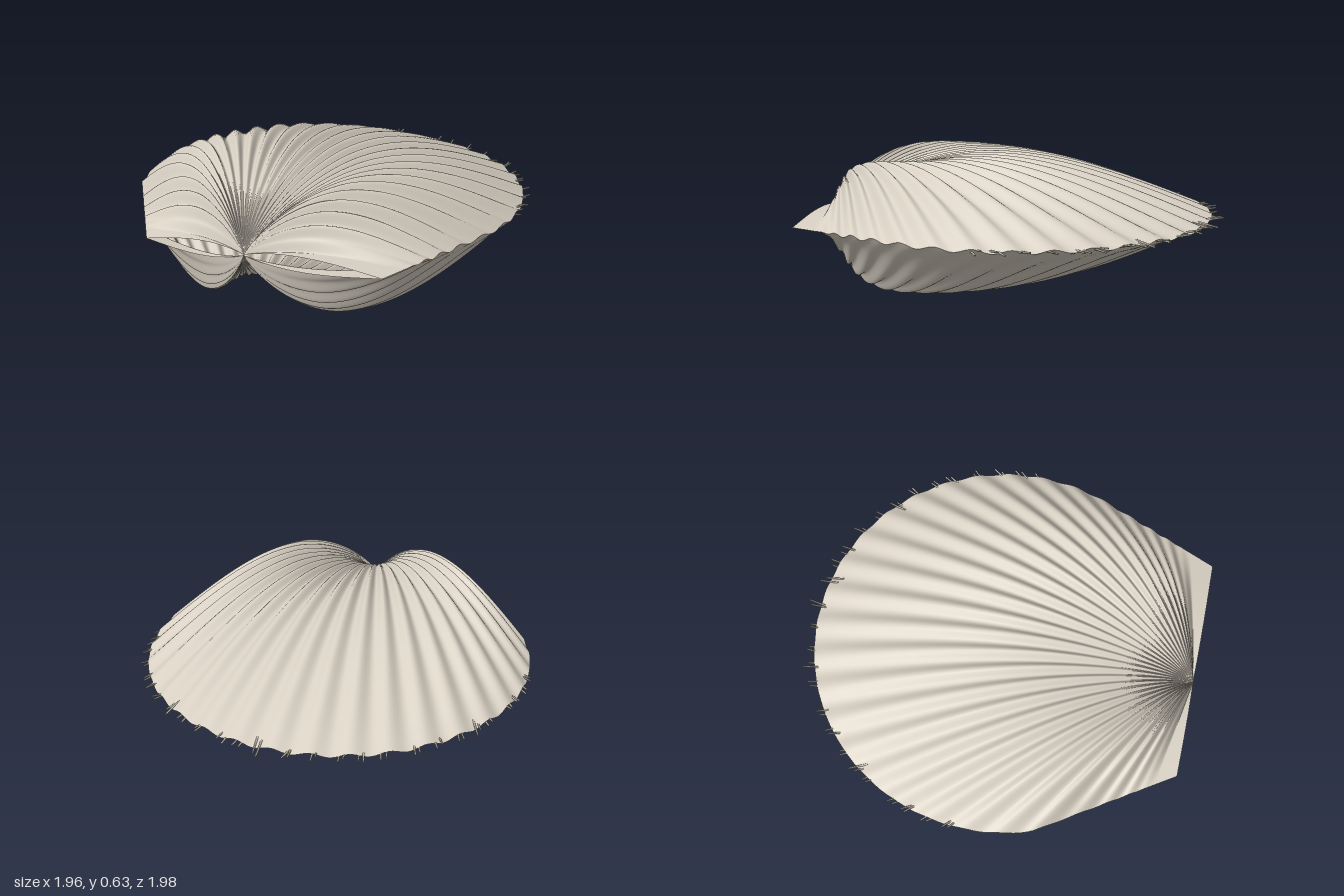
import * as THREE from 'three';

const MID = 0.34;      // height of the seam between the valves
const RADIUS = 0.96;   // the round outline passes through the hinge at z = 1
const RIB_FREQ = 68;   // about thirty ribs across the fan
const HALF = Math.PI / 2;

const shellMat = new THREE.MeshStandardMaterial({ color: 0xd8d0c3, side: THREE.DoubleSide });
shellMat.name = 'shell cream';
const feelerMat = new THREE.MeshStandardMaterial({ color: 0xbfb9aa });
feelerMat.name = 'feeler grey';

// length of a ray from the hinge to the outline: circle at the back, straight ear at the front
function reach(angle) {
  const left = angle > 0;
  const a = Math.abs(angle);
  const start = THREE.MathUtils.degToRad(left ? 56 : 55);
  const full = 2 * RADIUS * Math.cos(a);
  if (a <= start) return full;
  const tip = left ? 0.645 : 0.49;
  const end = 2 * RADIUS * Math.cos(start);
  const slope = (end * Math.sin(start) - tip) / (end * Math.cos(start));
  return tip / (Math.sin(a) - slope * Math.cos(a));
}

// height of the arch along each ray; drops towards the flat ears
function archHeight(angle, height) {
  const k = THREE.MathUtils.clamp((Math.abs(angle) - 0.785) / 0.6, 0, 1);
  return 0.035 + (height - 0.035) * (1 - k * k);
}

function marginWave(angle) {
  const fade = 1 - THREE.MathUtils.smoothstep(Math.abs(angle), 1.15, 1.4);
  return -Math.cos(angle * RIB_FREQ) * fade;
}

function makeValve(name, side, height) {
  const rays = 330, steps = 36;
  const pos = [], index = [];
  for (let i = 0; i <= rays; i++) {
    const angle = -HALF + (Math.PI * i) / rays;
    const length = reach(angle);
    const arch = archHeight(angle, height);
    const wave = marginWave(angle);
    for (let j = 0; j <= steps; j++) {
      const t = Math.pow(j / steps, 1.2);
      const body = arch * Math.sin(Math.PI * Math.pow(t, 0.8));
      const rib = 0.016 * Math.min(1, t * 2.6) * (1 - Math.pow(t, 8)) * wave;
      const edge = 0.009 * Math.pow(t, 8) * wave;
      pos.push(length * t * Math.sin(angle), MID + side * (body + rib) + edge, 1 - length * t * Math.cos(angle));
      if (i < rays && j < steps) {
        const a = i * (steps + 1) + j, b = a + steps + 1;
        if (side > 0) index.push(a, b, a + 1, b, b + 1, a + 1);
        else index.push(a, a + 1, b, b, a + 1, b + 1);
      }
    }
  }
  const geo = new THREE.BufferGeometry();
  geo.setAttribute('position', new THREE.Float32BufferAttribute(pos, 3));
  geo.setIndex(index);
  geo.computeVertexNormals();
  const mesh = new THREE.Mesh(geo, shellMat);
  mesh.name = name;
  return mesh;
}

// small feelers poking out of the seam around the back
function makeFeelers() {
  const group = new THREE.Group();
  group.name = 'feelers';
  let seed = 7;
  const rand = () => (seed = (seed * 16807) % 2147483647) / 2147483647;
  rand();
  const geo = new THREE.CylinderGeometry(0.004, 0.006, 1, 6);
  const up = new THREE.Vector3(0, 1, 0);
  const clusters = 27;
  for (let i = 0; i < clusters; i++) {
    const base = -0.8 + (1.6 * (i + 0.2 + rand() * 0.6)) / clusters;
    for (let n = 0; n < 2; n++) {
      const angle = base + n * 0.012;
      const out = reach(angle) + (0.02 + rand() * 0.045) * (1 - 0.6 * Math.abs(angle));
      const length = 0.1;
      const lean = angle + (rand() - 0.5) * 0.25;
      const dir = new THREE.Vector3(Math.sin(lean), (rand() - 0.5) * 0.5, -Math.cos(lean)).normalize();
      const tip = new THREE.Vector3(out * Math.sin(angle), MID + dir.y * 0.06, 1 - out * Math.cos(angle));
      const feeler = new THREE.Mesh(geo, feelerMat);
      feeler.name = 'feeler';
      feeler.scale.y = length;
      feeler.position.copy(tip).addScaledVector(dir, -length / 2);
      feeler.quaternion.setFromUnitVectors(up, dir);
      group.add(feeler);
    }
  }
  return group;
}

export function createModel() {
  const model = new THREE.Group();
  model.name = 'scallop';
  model.add(makeValve('upperValve', 1, 0.275), makeValve('lowerValve', -1, 0.324), makeFeelers());
  return model;
}
